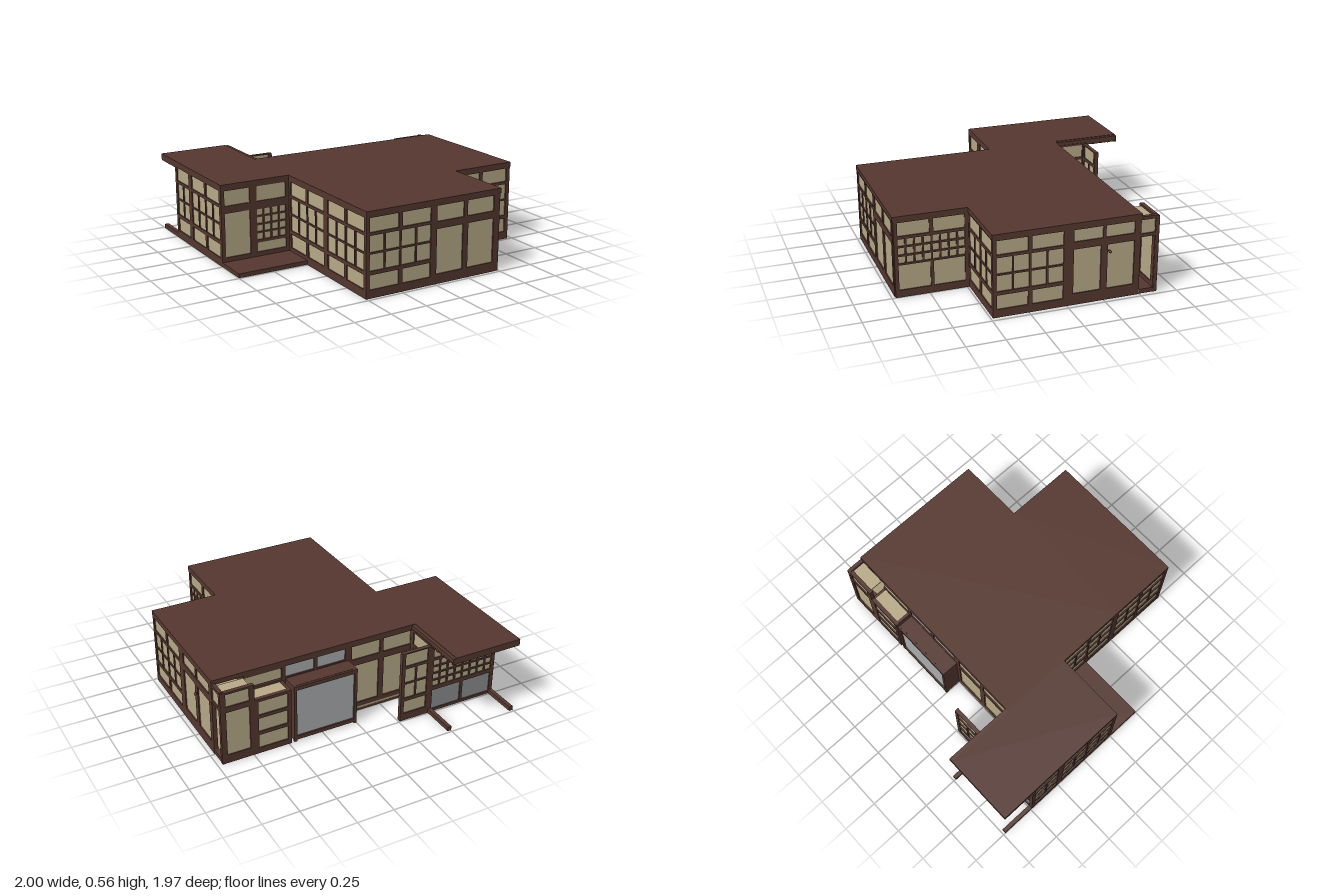
import * as THREE from 'three';

const mat = (name, color) => Object.assign(new THREE.MeshStandardMaterial({ color }), { name });
const wood = mat('dark wood', 0x55372f);
const paper = mat('tan paper', 0xb8aa88);
const steel = mat('grey board', 0x8b8c8f);
const pale = mat('pale grey panel', 0xa9abad);
const straw = mat('straw mat', 0xa89b78);
const violet = mat('violet cushion', 0x857789);

// Box given by its minimum and maximum corners
function box(parent, name, m, x0, x1, y0, y1, z0, z1) {
  const mesh = new THREE.Mesh(new THREE.BoxGeometry(x1 - x0, y1 - y0, z1 - z0), m);
  mesh.position.set((x0 + x1) / 2, (y0 + y1) / 2, (z0 + z1) / 2);
  mesh.name = name;
  parent.add(mesh);
  return mesh;
}

// Wall styles: rows of [bottom, top, panes, mullion width, material]
const fine = (y0, y1, rows, panes) => Array.from({ length: rows }, (_, i) => {
  const h = (y1 - y0 + 0.012) / rows;
  return [y0 + i * h, y0 + (i + 1) * h - 0.012, panes, 0.012];
});
const transom = [0.42, 0.512, 2, 0.026];
const STYLES = {
  screen: [[0.055, 0.15, 2, 0.028], ...fine(0.175, 0.4, 2, 4), transom],
  doors: [[0.065, 0.362, 2, 0.04], [0.41, 0.512, 2, 0.028]],
  sideDoors: [[0.078, 0.38, 2, 0.045], [0.43, 0.51, 2, 0.02]],
  lattice: [[0.05, 0.222, 2, 0.022], ...fine(0.234, 0.4, 3, 8), transom],
  kitchen: [[0.02, 0.17, 2, 0.02, steel], ...fine(0.2, 0.4, 4, 8), transom],
  kitchenSide: [[0.01, 0.168, 1, 0, steel], [0.18, 0.4, 1, 0], [0.42, 0.512, 1, 0]],
  narrow: [[0.055, 0.15, 1, 0], ...fine(0.175, 0.4, 2, 2), [0.42, 0.512, 1, 0]],
  plainDoor: [[0.06, 0.36, 1, 0], [0.41, 0.512, 1, 0]],
  latticeDoor: [[0.06, 0.125, 1, 0], ...fine(0.145, 0.355, 4, 4), [0.41, 0.512, 1, 0]],
  closetBack: [[0.065, 0.362, 2, 0.04], [0.43, 0.512, 2, 0.026, pale]],
  shelves: [[0.04, 0.14, 1, 0], [0.165, 0.265, 1, 0], [0.29, 0.39, 1, 0]],
  alcove: [[0.06, 0.38, 1, 0], [0.42, 0.512, 1, 0]],
};

// Framed wall running from (ax, az) to (bx, bz)
function wall(parent, name, style, ax, az, bx, bz, top = 0.526, stile = 0.025) {
  const g = new THREE.Group();
  g.name = name;
  const len = Math.hypot(bx - ax, bz - az), t = 0.014;
  const bar = (x0, x1, y0, y1) => box(g, 'frameBar', wood, x0, x1, y0, y1, -t, t);
  bar(0, stile, 0, top);
  bar(len - stile, len, 0, top);
  let last = 0;
  for (const [y0, y1, n, w, m] of STYLES[style]) {
    bar(stile, len - stile, last, y0);
    box(g, 'panel', m || paper, stile, len - stile, y0, y1, -0.006, 0.006);
    const pane = (len - 2 * stile - (n - 1) * w) / n;
    for (let i = 1; i < n; i++) {
      const x = stile + i * pane + (i - 1) * w;
      bar(x, x + w, y0, y1);
    }
    last = y1;
  }
  bar(stile, len - stile, last, top);
  g.position.set(ax, 0, az);
  g.rotation.y = Math.atan2(-(bz - az), bx - ax);
  parent.add(g);
}

export function createModel() {
  const house = new THREE.Group();
  house.name = 'house';

  // Flat roofs
  box(house, 'mainRoof', wood, -0.505, 0.97, 0.522, 0.555, -0.5, 0.49);
  box(house, 'frontRoof', wood, -0.505, 0.502, 0.522, 0.555, 0.49, 0.982);
  box(house, 'wingRoof', wood, -1, -0.505, 0.522, 0.555, -0.985, 0.005);
  box(house, 'wingRoofTrim', wood, -0.505, -0.48, 0.522, 0.552, -0.985, -0.5);

  // Coffered underside of the wing eaves
  for (let i = 0; i <= 8; i++) {
    const x = -1 + i * 0.0625;
    box(house, 'eavesRib', wood, x, x + 0.014, 0.508, 0.522, -0.985, -0.74);
  }
  for (let i = 0; i <= 4; i++) {
    const z = -0.985 + i * 0.058;
    box(house, 'eavesCrossRib', wood, -1, -0.48, 0.508, 0.522, z, z + 0.014);
  }

  // Floors
  box(house, 'hallFloor', wood, 0, 0.5, 0.004, 0.03, 0, 0.97);
  box(house, 'entryFloor', wood, -0.5, 0, 0.004, 0.03, 0.49, 0.97);
  box(house, 'wingFloor', wood, -1, -0.5, 0.002, 0.03, -0.5, 0.248);
  box(house, 'backMats', straw, -0.5, 0.965, 0.012, 0.032, -0.5, 0);
  box(house, 'rightMats', straw, 0.5, 0.965, 0.012, 0.032, 0, 0.485);
  box(house, 'leftMats', straw, -0.5, 0, 0.012, 0.032, 0, 0.49);
  for (const x of [-1, -0.505]) box(house, 'groundBeam', wood, x, x + 0.028, 0, 0.03, -0.985, -0.5);

  // Low tables with cushions around them
  for (const [cx, cz] of [[0.66, -0.23], [-0.05, -0.22], [-0.24, 0.25]]) {
    box(house, 'tableFoot', wood, cx - 0.06, cx + 0.06, 0.006, 0.012, cz - 0.008, cz + 0.008);
    box(house, 'tableTop', wood, cx - 0.12, cx + 0.12, 0.09, 0.105, cz - 0.07, cz + 0.07);
    for (const dx of [-0.065, 0.065]) for (const dz of [-0.12, 0.12]) {
      const x = cx + dx, z = cz + dz;
      box(house, 'cushion', violet, x - 0.045, x + 0.045, 0.009, 0.045, z - 0.045, z + 0.045);
      box(house, 'cushionBase', straw, x - 0.034, x + 0.034, 0.006, 0.01, z - 0.034, z + 0.034);
    }
  }

  // Front walls
  wall(house, 'wingFrontDoor', 'plainDoor', -1, -0.01, -0.768, -0.01);
  wall(house, 'wingLatticeDoor', 'latticeDoor', -0.768, -0.01, -0.505, -0.01);
  wall(house, 'frontScreen', 'screen', -0.505, 0.965, -0.01, 0.965);
  wall(house, 'frontDoors', 'doors', -0.02, 0.965, 0.48, 0.965, 0.526, 0.03);
  wall(house, 'rightFrontScreen', 'screen', 0.48, 0.472, 0.965, 0.472);

  // Right-hand side walls
  wall(house, 'hallLattice', 'lattice', 0.486, 0.975, 0.486, 0.486);
  wall(house, 'sideScreen', 'screen', 0.955, 0.486, 0.955, 0);
  wall(house, 'sideDoors', 'sideDoors', 0.955, 0, 0.955, -0.495, 0.526, 0.042);

  // Far side walls
  wall(house, 'hallSideScreen', 'screen', -0.49, 0.975, -0.49, 0.49);
  wall(house, 'roomSideScreen', 'screen', -0.49, 0.49, -0.49, 0);
  wall(house, 'wingSideScreen', 'screen', -0.986, 0, -0.986, -0.49);
  wall(house, 'wingNarrowScreen', 'narrow', -0.986, -0.49, -0.986, -0.74);

  // Back walls
  wall(house, 'kitchenBack', 'kitchen', -1, -0.728, -0.48, -0.728);
  wall(house, 'kitchenSide', 'kitchenSide', -0.49, -0.5, -0.49, -0.74, 0.526, 0.03);
  wall(house, 'slidOpenDoor', 'narrow', -0.48, -0.73, -0.26, -0.73, 0.52);
  wall(house, 'backDoors', 'doors', -0.5, -0.486, 0, -0.486);
  wall(house, 'closetBackWall', 'closetBack', 0, -0.486, 0.485, -0.486);

  // Closet box with a pale sliding panel
  box(house, 'closet', wood, 0, 0.46, 0.01, 0.42, -0.605, -0.5);
  box(house, 'closetPanel', pale, 0.022, 0.438, 0.035, 0.385, -0.61, -0.602);
  for (const x of [0, 0.44]) box(house, 'closetPost', wood, x, x + 0.02, 0, 0.42, -0.62, -0.6);
  for (const y of [0.012, 0.39]) box(house, 'closetRail', wood, 0, 0.46, y, y + 0.028, -0.62, -0.6);

  // Shelf alcove
  wall(house, 'shelfWall', 'shelves', 0.48, -0.607, 0.735, -0.607, 0.41);
  box(house, 'shelfTop', paper, 0.5, 0.73, 0.396, 0.406, -0.6, -0.5);
  box(house, 'shelfSide', wood, 0.48, 0.5, 0, 0.41, -0.605, -0.49);
  box(house, 'shelfDivider', wood, 0.73, 0.75, 0, 0.395, -0.605, -0.49);
  box(house, 'shelfTransom', paper, 0.49, 0.74, 0.43, 0.512, -0.495, -0.487);
  for (const y of [0.4, 0.505]) box(house, 'shelfRail', wood, 0.48, 0.75, y, y + 0.022, -0.5, -0.475);

  // Open-sided alcove at the corner
  wall(house, 'alcoveWall', 'alcove', 0.735, -0.607, 0.965, -0.607, 0.526, 0.035);
  box(house, 'alcoveTop', paper, 0.755, 0.945, 0.505, 0.513, -0.6, -0.5);
  box(house, 'alcoveFloor', wood, 0.5, 0.965, 0, 0.03, -0.6, -0.49);
  box(house, 'alcoveSidePanel', paper, 0.95, 0.96, 0.415, 0.515, -0.6, -0.5);
  for (const y of [0.395, 0.51]) box(house, 'alcoveRail', wood, 0.942, 0.968, y, y + 0.022, -0.61, -0.49);
  box(house, 'alcovePost', wood, 0.942, 0.968, 0, 0.526, -0.622, -0.596);

  // Door handle
  const knob = new THREE.Mesh(new THREE.SphereGeometry(0.01, 12, 8), wood);
  knob.name = 'doorHandle';
  knob.position.set(0.99, 0.338, -0.278);
  house.add(knob);
  box(house, 'handleStem', wood, 0.965, 0.985, 0.334, 0.342, -0.282, -0.274);
  return house;
}
